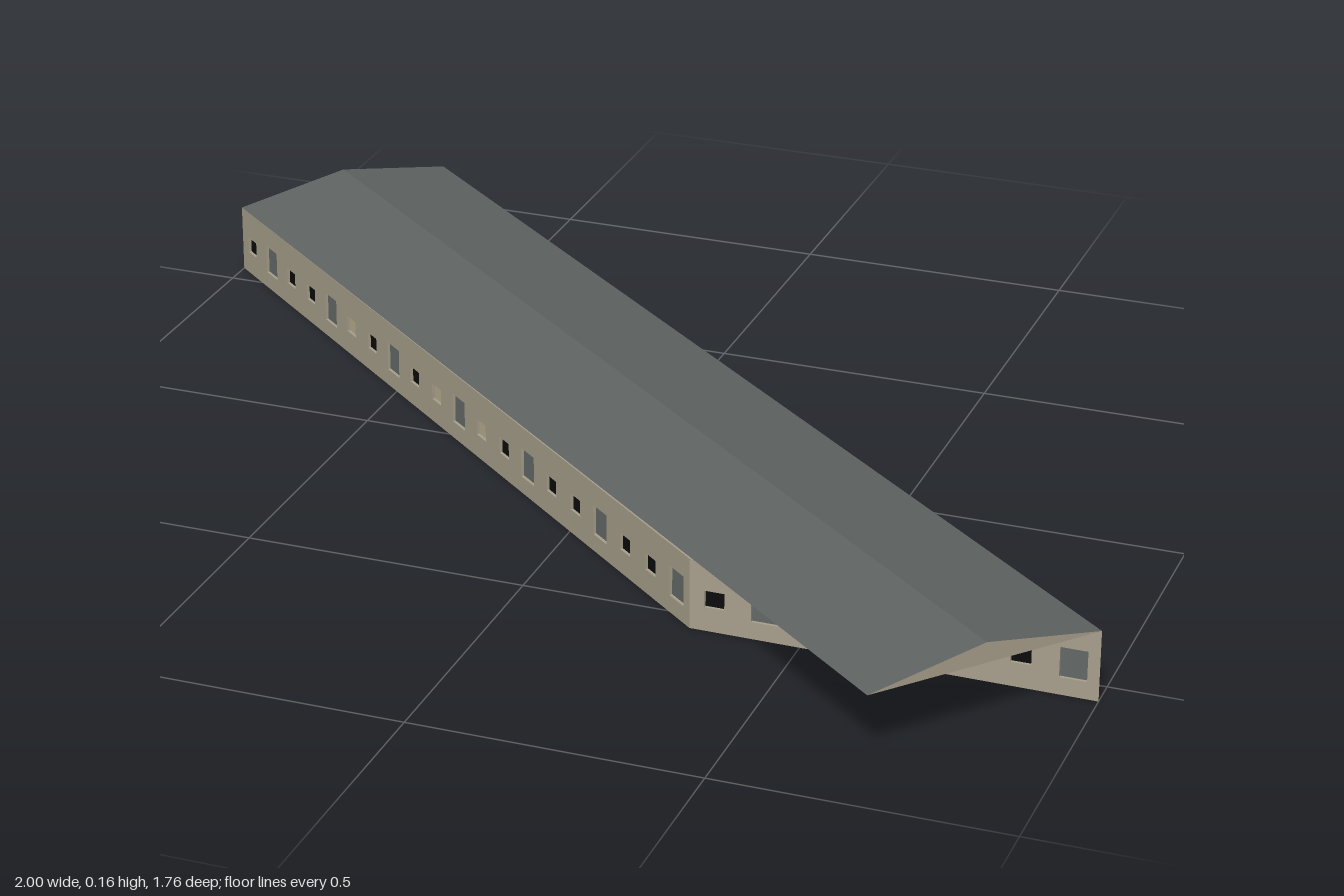
import * as THREE from 'three';

const EAVE = 0.126, RIDGE = 0.162, DEPTH = 0.008;
const paint = (color, side = THREE.FrontSide) =>
  new THREE.MeshStandardMaterial({ color, side });
const wallPaint = paint(0xa89f8c, THREE.DoubleSide);
const roofPaint = paint(0x5f6462, THREE.DoubleSide);
const darkGlass = paint(0x0c0c0c);
const greyGlass = paint(0x646a68);
const litGlass = paint(0xb8ad90);

// Plan corners [x, z], walked so that each wall runs left to right from outside
const plan = [[-1, -0.552], [0.31, 0.545], [1, 0.552], [-0.72, -0.882]]
  .map(([x, z]) => new THREE.Vector2(x, z));
const walls = [
  { name: 'longFrontWall', count: 20, lit: [5, 9, 11], tall: true },
  { name: 'slantedWall', count: 8, lit: [2], tall: true },
  { name: 'longBackWall', count: 26, lit: [3, 5, 11, 20], tall: true },
  { name: 'endWall', count: 5, lit: [2], tall: false },
];

// Inward setback that mitres the wall ends at plan corner i
function mitre(i) {
  const p = plan[i % 4];
  const a = plan[(i + 3) % 4].clone().sub(p).normalize();
  const b = plan[(i + 1) % 4].clone().sub(p).normalize();
  return DEPTH / Math.tan(Math.acos(a.dot(b)) / 2);
}

function rectangle(Type, x, y, w, h) {
  return new Type([[-1, -1], [1, -1], [1, 1], [-1, 1]]
    .map(([sx, sy]) => new THREE.Vector2(x + sx * w / 2, y + sy * h / 2)));
}

// Wall with recessed windows: every third one is tall, some are lit
function buildWall(i) {
  const { name, count, lit, tall } = walls[i];
  const a = plan[i], b = plan[(i + 1) % 4];
  const length = a.distanceTo(b);
  const group = new THREE.Group();
  group.name = name;
  const shape = rectangle(THREE.Shape, length / 2, EAVE / 2, length, EAVE);

  for (let k = 0; k < count; k++) {
    const x = (k + 0.5) * length / count, y = 0.058;
    const big = tall && k % 3 === 1;
    const [w, h] = big ? [0.046, 0.054] : [0.034, 0.03];
    shape.holes.push(rectangle(THREE.Path, x, y, w, h));
    const pane = new THREE.Mesh(
      new THREE.BoxGeometry(w, h, 0.003),
      big ? greyGlass : lit.includes(k) ? litGlass : darkGlass);
    pane.name = big ? 'tallWindow' : 'smallWindow';
    pane.position.set(x, y, -DEPTH + 0.001);
    group.add(pane);
  }

  const geometry = new THREE.ExtrudeGeometry(shape, { depth: DEPTH, bevelEnabled: false });
  geometry.translate(0, 0, -DEPTH);
  const pos = geometry.attributes.position;
  for (let v = 0; v < pos.count; v++) {
    if (pos.getZ(v) > -DEPTH / 2) continue;
    if (pos.getX(v) < 1e-4) pos.setX(v, mitre(i));
    else if (pos.getX(v) > length - 1e-4) pos.setX(v, length - mitre(i + 1));
  }
  geometry.computeVertexNormals();
  const panel = new THREE.Mesh(geometry, wallPaint);
  panel.name = name + 'Panel';
  group.add(panel);

  group.position.set(a.x, 0, a.y);
  group.rotation.y = Math.atan2(a.y - b.y, b.x - a.x);
  return group;
}

// Flat polygon, corners anticlockwise as seen from its front
function flatPanel(name, corners, material) {
  const points = [];
  for (let k = 1; k < corners.length - 1; k++) points.push(corners[0], corners[k], corners[k + 1]);
  const geometry = new THREE.BufferGeometry().setFromPoints(points);
  geometry.computeVertexNormals();
  const mesh = new THREE.Mesh(geometry, material);
  mesh.name = name;
  return mesh;
}

export function createModel() {
  const model = new THREE.Group();
  model.name = 'longBuilding';
  walls.forEach((_, i) => model.add(buildWall(i)));

  // Rectangular gable roof, overhanging the slanted wall
  const at = (x, y, z) => new THREE.Vector3(x, y, z);
  const farFront = at(-1, EAVE, -0.552), farBack = at(-0.72, EAVE, -0.882);
  const nearFront = at(0.72, EAVE, 0.882), nearBack = at(1, EAVE, 0.552);
  const farRidge = at(-0.86, RIDGE, -0.717), nearRidge = at(0.86, RIDGE, 0.717);
  model.add(
    flatPanel('frontRoofSlope', [farFront, nearFront, nearRidge, farRidge], roofPaint),
    flatPanel('backRoofSlope', [nearBack, farBack, farRidge, nearRidge], roofPaint),
    flatPanel('nearGable', [nearFront, nearBack, nearRidge], wallPaint),
    flatPanel('farGable', [farBack, farFront, farRidge], wallPaint));
  return model;
}
